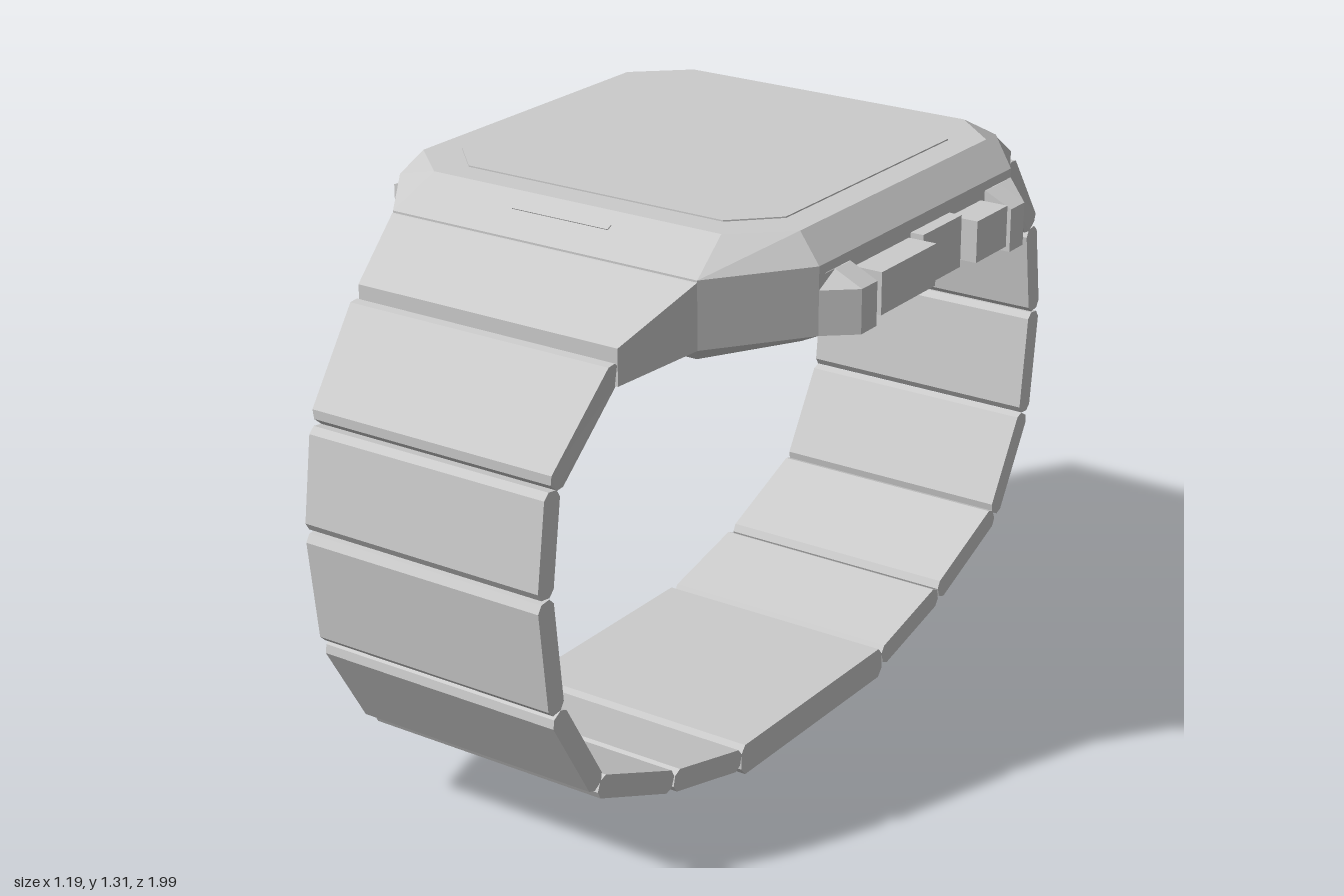
import * as THREE from 'three';

const grey = new THREE.MeshStandardMaterial({ color: 0xcccccc, flatShading: true });
const smooth = new THREE.MeshStandardMaterial({ color: 0xcccccc });

function add(parent, name, geometry, material = grey) {
  const mesh = new THREE.Mesh(geometry, material);
  mesh.name = name;
  parent.add(mesh);
  return mesh;
}

// Solid through a stack of convex rings, capped at both ends
function loft(rings) {
  const pos = [], n = rings[0].length, last = rings.length - 1;
  const tri = (a, b, c) => pos.push(...a, ...b, ...c);
  for (let r = 0; r < last; r++) {
    for (let i = 0; i < n; i++) {
      const j = (i + 1) % n, a = rings[r], b = rings[r + 1];
      tri(a[i], a[j], b[j]);
      tri(a[i], b[j], b[i]);
    }
  }
  for (let i = 1; i < n - 1; i++) {
    tri(rings[0][0], rings[0][i + 1], rings[0][i]);
    tri(rings[last][0], rings[last][i], rings[last][i + 1]);
  }
  const g = new THREE.BufferGeometry();
  g.setAttribute('position', new THREE.Float32BufferAttribute(pos, 3));
  g.computeVertexNormals();
  return g;
}

// Rectangle hx by hz with its corners cut at x = a and z = b
const octagon = (y, hx, hz, a, b) => [
  [-a, y, hz], [a, y, hz], [hx, y, b], [hx, y, -b],
  [a, y, -hz], [-a, y, -hz], [-hx, y, -b], [-hx, y, b],
];

// Strap link between two (z, y) points, with chamfered ends
function linkGeometry([z0, y0], [z1, y1], t, halfWidth) {
  const d = new THREE.Vector2(z1 - z0, y1 - y0);
  const L = d.length(), c = 0.018, gap = 0.003;
  d.normalize();
  const profile = [
    [gap, -t * 0.5], [c, -t], [L - c, -t], [L - gap, -t * 0.5],
    [L - gap, t * 0.5], [L - c, t], [c, t], [gap, t * 0.5],
  ].map(([u, v]) => new THREE.Vector2(-(z0 + d.x * u - d.y * v), y0 + d.y * u + d.x * v));
  const g = new THREE.ExtrudeGeometry(new THREE.Shape(profile), { depth: halfWidth * 2, bevelEnabled: false });
  g.translate(0, 0, -halfWidth);
  g.rotateY(Math.PI / 2);
  return g;
}

// Lug and the six links on one side of the case
function strapHalf(name) {
  const half = new THREE.Group();
  half.name = name;
  const rect = (z, w, y0, y1) => [[-w, y0, z], [w, y0, z], [w, y1, z], [-w, y1, z]];
  add(half, 'lug', loft([rect(0.57, 0.38, 1.105, 1.25), rect(0.59, 0.38, 1.105, 1.245), rect(0.77, 0.322, 1.077, 1.155)]));
  const joints = [[0.765, 1.12], [0.943, 0.918], [0.974, 0.697], [0.945, 0.44], [0.814, 0.218], [0.55, 0.107], [0.293, 0.042]];
  for (let i = 0; i < joints.length - 1; i++) {
    const g = linkGeometry(joints[i], joints[i + 1], i === 0 ? 0.028 : 0.025, 0.293);
    if (i === 0) {
      // first link widens towards the lug
      const p = g.attributes.position;
      for (let k = 0; k < p.count; k++) {
        const f = THREE.MathUtils.clamp((p.getY(k) - 0.915) / 0.22, 0, 1);
        p.setX(k, p.getX(k) * (1 + 0.1 * f));
      }
      g.computeVertexNormals();
    }
    add(half, 'strapLink', g);
  }
  return half;
}

// Pushers and guards on the +x (s = 1) or -x (s = -1) side
function sideControls(s) {
  const group = new THREE.Group();
  group.name = s > 0 ? 'leftControls' : 'rightControls';
  const block = (name, x, y0, y1, z0, z1) => {
    const m = add(group, name, new THREE.BoxGeometry(x - 0.5, y1 - y0, z1 - z0));
    m.position.set(s * (x + 0.5) / 2, (y0 + y1) / 2, (z0 + z1) / 2);
  };
  block('longButton', 0.595, 1.122, 1.213, 0.042, 0.255);
  block('shortButton', 0.595, 1.122, 1.213, -0.255, -0.127);
  block('middleGuard', 0.56, 1.108, 1.222, -0.122, 0.035);
  for (const f of [1, -1]) {
    const ring = (y, x) => {
      const pts = [[0.5, 0.385], [0.53, 0.385], [x, 0.33], [x, 0.272], [0.5, 0.272]].map(([px, pz]) => [s * px, y, f * pz]);
      return s * f > 0 ? pts : pts.reverse();
    };
    add(group, 'endGuard', loft([ring(1.105, 0.595), ring(1.2, 0.595), ring(1.23, 0.532)]));
  }
  return group;
}

export function createModel() {
  const model = new THREE.Group();
  model.name = 'wristwatch';

  // Case with bevelled bezel
  add(model, 'case', loft([
    octagon(1.075, 0.475, 0.56, 0.36, 0.36),
    octagon(1.105, 0.53, 0.587, 0.38, 0.385),
    octagon(1.25, 0.53, 0.587, 0.38, 0.385),
    octagon(1.309, 0.475, 0.475, 0.36, 0.37),
  ]));
  add(model, 'glass', loft([
    octagon(1.3, 0.41, 0.41, 0.32, 0.32),
    octagon(1.312, 0.41, 0.41, 0.32, 0.32),
  ]));
  const slot = add(model, 'bezelSlot', new THREE.BoxGeometry(0.24, 0.006, 0.014));
  slot.position.set(0, 1.287, 0.515);
  slot.rotation.x = Math.atan2(0.06, 0.112);

  // Case back with its domed cover
  add(model, 'caseBack', loft([
    octagon(1.015, 0.325, 0.39, 0.21, 0.25),
    octagon(1.08, 0.415, 0.475, 0.27, 0.31),
  ]));
  const dome = [[0, 0.987], [0.2, 0.987], [0.27, 0.991], [0.315, 0.998], [0.335, 1.005], [0.34, 1.02]];
  add(model, 'backDome', new THREE.LatheGeometry(dome.map(([r, y]) => new THREE.Vector2(r, y)), 64), smooth);

  // Buttons on both flanks
  model.add(sideControls(1), sideControls(-1));

  // Strap halves and the clasp plate that joins them
  const back = strapHalf('backStrap');
  back.rotation.y = Math.PI;
  model.add(strapHalf('frontStrap'), back);
  add(model, 'clasp', linkGeometry([0.297, 0.036], [-0.297, 0.036], 0.036, 0.293));
  return model;
}
